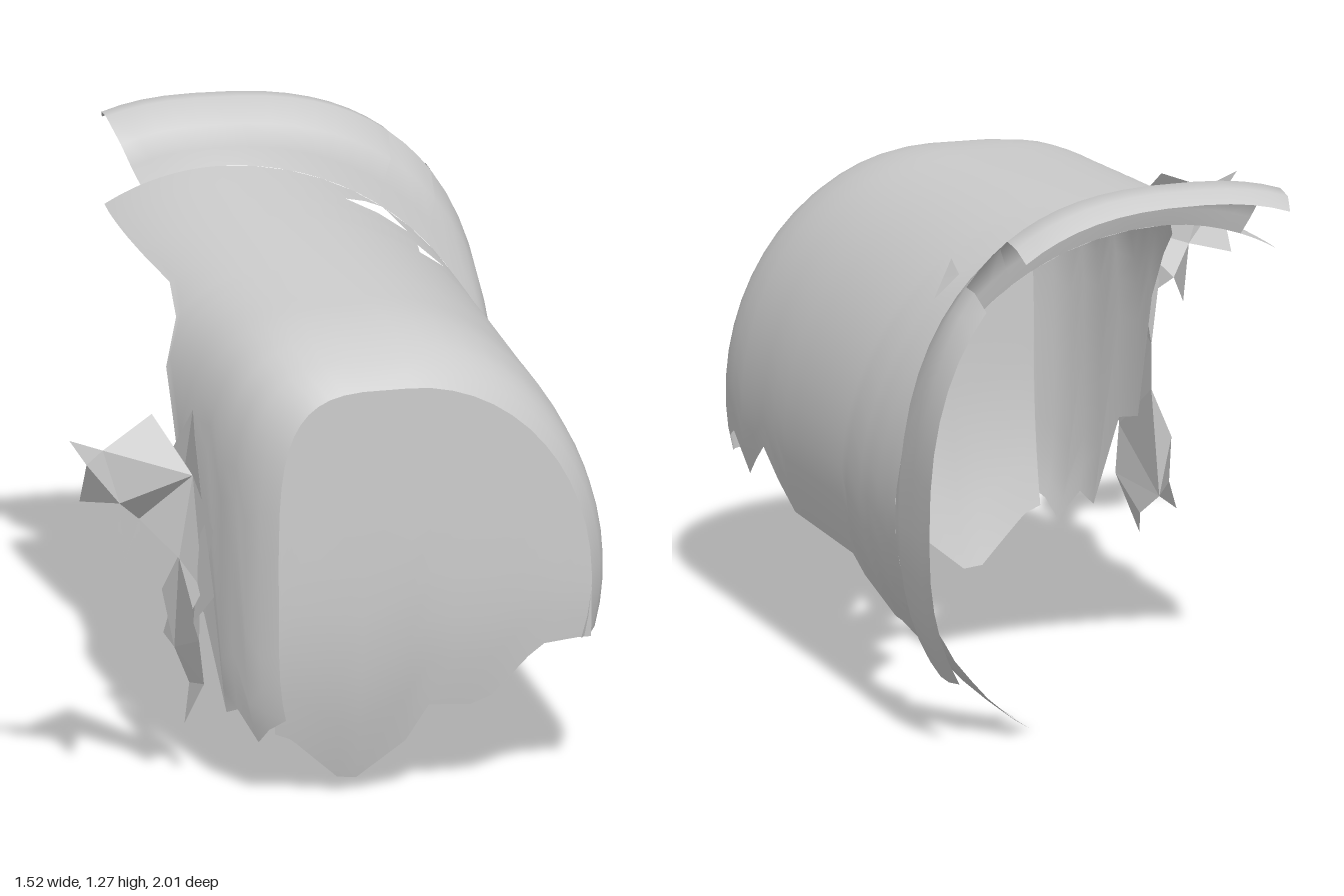
import * as THREE from 'three';

const smooth = new THREE.MeshStandardMaterial({ color: 0xcccccc, side: THREE.DoubleSide });
const flat = new THREE.MeshStandardMaterial({ color: 0xcccccc, side: THREE.DoubleSide, flatShading: true });
const MID = 0.5; // height of the barrel's axis

// Piecewise linear lookup in [[key, value], ...] sorted by key
function lookup(table, k) {
  if (k <= table[0][0]) return table[0][1];
  for (let i = 1; i < table.length; i++) {
    const [a, va] = table[i - 1], [b, vb] = table[i];
    if (k <= b) return va + (vb - va) * (k - a) / (b - a);
  }
  return table[table.length - 1][1];
}

// Cross-section of the barrel at z: boxy at the front, burst open at the back,
// flattened on top where the rim lifts off
function section(z, inset = 0, lift = 0) {
  const k = Math.min(1, Math.max(0, (0.55 - z) / 1.15));
  const cx = 0.02 - 0.17 * k;
  return {
    z, cx,
    nLeft: 4 - 2 * k + 4.6 * lift,
    nRight: 2 + 4.6 * lift,
    right: 0.502 - cx - 4.5 * inset * inset,
    left: 0.43 + 0.15 * k * k - inset * 1.15,
    up: 0.585 + 0.055 * k - inset + lift,
    down: 0.55 + 0.05 * k - inset,
  };
}

// Point on a section; angle 0 is the ridge, negative is the left flank.
// The front end leans back a little towards the right.
function pointAt(s, a) {
  const p = 2 / (a < 0 ? s.nLeft : s.nRight), c = Math.cos(a), sn = Math.abs(Math.sin(a));
  const x = s.cx + (a < 0 ? -s.left : s.right) * sn ** p;
  const y = MID + Math.sign(c) * Math.abs(c) ** p * (c > 0 ? s.up : s.down);
  return [x, y, s.z - 0.45 * Math.max(0, x) * Math.max(0, s.z - 0.58)];
}

// Angle at which a flank reaches height y
function angleAt(s, y, leftSide) {
  const c = (y - MID) / (y > MID ? s.up : s.down);
  const e = (leftSide ? s.nLeft : s.nRight) / 2;
  return (leftSide ? -1 : 1) * Math.acos(Math.sign(c) * Math.min(1, Math.abs(c)) ** e);
}

// Surface through rows of points, skipping triangles inside a hole
function gridMesh(name, rows, material, isHole = () => false) {
  const w = rows[0].length, index = [];
  const tri = (a, b, c) => {
    const m = [0, 1, 2].map(i => [a, b, c].reduce((t, v) => t + rows[Math.floor(v / w)][v % w][i], 0) / 3);
    if (!isHole(m)) index.push(a, b, c);
  };
  for (let r = 0; r + 1 < rows.length; r++) {
    for (let c = 0; c + 1 < w; c++) {
      const a = r * w + c, b = a + w;
      tri(a, b, a + 1);
      tri(a + 1, b, b + 1);
    }
  }
  const g = new THREE.BufferGeometry();
  g.setAttribute('position', new THREE.Float32BufferAttribute(rows.flat(2), 3));
  g.setIndex(index);
  g.computeVertexNormals();
  const mesh = new THREE.Mesh(g, material);
  mesh.name = name;
  return mesh;
}

const spread = (from, to, count) =>
  Array.from({ length: count + 1 }, (_, i) => from + (to - from) * i / count);

// Torn sheet: a flat outline placed in space by a rule
function shard(name, outline, place) {
  const g = new THREE.ShapeGeometry(new THREE.Shape(outline.map(p => new THREE.Vector2(...p))));
  const pos = g.attributes.position;
  for (let i = 0; i < pos.count; i++) pos.setXYZ(i, ...place(pos.getX(i), pos.getY(i), i));
  g.computeVertexNormals();
  const mesh = new THREE.Mesh(g, flat);
  mesh.name = name;
  return mesh;
}

export function createModel() {
  const model = new THREE.Group();
  const barrel = new THREE.Group();
  barrel.name = 'brokenBarrel';
  barrel.rotation.y = THREE.MathUtils.degToRad(31.5);
  model.add(barrel);

  // Main shell with ragged lower edges and two punctures
  const leftEdge = [[-0.62, 1.065], [-0.05, 1.04], [0.1, 1], [0.18, 0.9], [0.25, 0.84],
    [0.33, 0.72], [0.4, 0.42], [0.48, 0.4], [0.55, 0.18], [0.6, 0.2], [0.64, 0.13], [0.71, 0.2]];
  const rightEdge = [[-0.62, 0.25], [-0.5, 0.16], [-0.42, 0.2], [-0.33, 0.2], [-0.234, 0.32],
    [0.176, 0.32], [0.33, 0.44], [0.48, 0.34], [0.57, 0.45], [0.63, 0.36], [0.71, 0.35]];
  const stations = [-0.62, -0.56, -0.49, -0.42, -0.37, -0.27, -0.234, -0.05, 0.1, 0.176,
    0.25, 0.33, 0.4];
  const rounding = [[0.48, 0.004], [0.55, 0.016], [0.6, 0.032], [0.64, 0.05], [0.68, 0.073], [0.715, 0.105]];
  const shellRows = [...stations.map(z => [z, 0]), ...rounding].map(([z, inset]) => {
    const s = section(z, inset);
    const l = angleAt(s, lookup(leftEdge, z), true), r = angleAt(s, lookup(rightEdge, z), false);
    return [...spread(l, 0, 16), ...spread(0, r, 16).slice(1)].map(a => pointAt(s, a));
  });
  const punctured = ([x, , z]) =>
    (z > -0.6 && z < -0.49 && x > 0.16 && x < 0.24) ||
    (z > -0.36 && z < -0.32 && x > 0.27 && x < 0.305);
  barrel.add(gridMesh('shell', shellRows, smooth, punctured));

  // Front end plate, hung from the shell's last ring, with a torn lower edge
  const plateEdge = [[-0.3, 0.16], [-0.25, 0.14], [-0.13, 0.03], [-0.01, 0.03], [0.05, 0.21],
    [0.2, 0.2], [0.33, 0.34], [0.42, 0.35]];
  const plateRows = shellRows[shellRows.length - 1].filter(p => p[1] > MID)
    .map(([x, top, z]) => spread(top, lookup(plateEdge, x), 7)
      .map(y => [x, y, z - 0.38 * Math.max(0, MID - y) ** 2]));
  barrel.add(gridMesh('endPlate', plateRows, smooth));

  // Raised rear rim, broken into a crown, a shoulder and a side piece
  const rim = [[-0.62, 0], [-0.635, 0.04], [-0.65, 0.09], [-0.74, 0.13], [-0.8, 0.125], [-0.845, 0.1]];
  const rimPiece = (name, from, to, count, profile) => barrel.add(gridMesh(name, profile.map(([z, lift]) => {
    const s = section(z, 0, lift);
    return spread(from, to, count).map(a => pointAt(s, a));
  }), smooth));
  rimPiece('rimCrown', -0.33, 0.6, 12, rim);
  rimPiece('rimShoulder', 0.6, 0.84, 3, rim.slice(0, 4));
  rimPiece('rimSide', 0.84, 2.1, 12, [...rim.slice(0, 4), [-0.8, 0.13], [-0.865, 0.1]]);

  // Curved strip hanging below the rear rim
  const strip = spread(0.32, 0, 7).map((y, i) => {
    const back = -0.76 - 0.006 * i + 0.02 * (i % 2), front = -0.5 - 0.018 * i;
    return spread(front, back, 3).map((z, j) => {
      const s = section(z), h = y + (i === 7 && j % 2 ? 0.04 : 0);
      return pointAt(s, angleAt(s, h, false));
    });
  });
  barrel.add(gridMesh('hangingStrip', strip, flat));

  // Torn left wall sheet
  barrel.add(shard('wallShard', [[0.15, 0.26], [0.17, 0.32], [0.27, 0.4], [0.33, 0.5], [0.35, 0.6],
    [0.36, 0.75], [0.45, 0.88], [0.6, 0.86], [0.69, 0.72], [0.69, 0.5], [0.62, 0.42], [0.57, 0.36],
    [0.55, 0.25], [0.45, 0.13], [0.36, 0.2], [0.27, 0.26]],
  (z, y, i) => [-0.455 + 0.02 * Math.sin(i * 2.3) + 0.06 * Math.max(0, 0.45 - y), y, z]));

  // Crumpled flap bent outward from the wall sheet
  barrel.add(shard('bentFlap', [[-0.78, 0.9], [-0.7, 0.87], [-0.57, 0.93], [-0.49, 0.8], [-0.44, 0.66],
    [-0.45, 0.5], [-0.49, 0.48], [-0.52, 0.6], [-0.6, 0.68], [-0.65, 0.6], [-0.66, 0.74],
    [-0.74, 0.73], [-0.74, 0.84]],
  (x, y, i) => [x, y, 0.68 + 0.05 * Math.sin(i * 2.1 + 0.6)]));

  return model;
}
